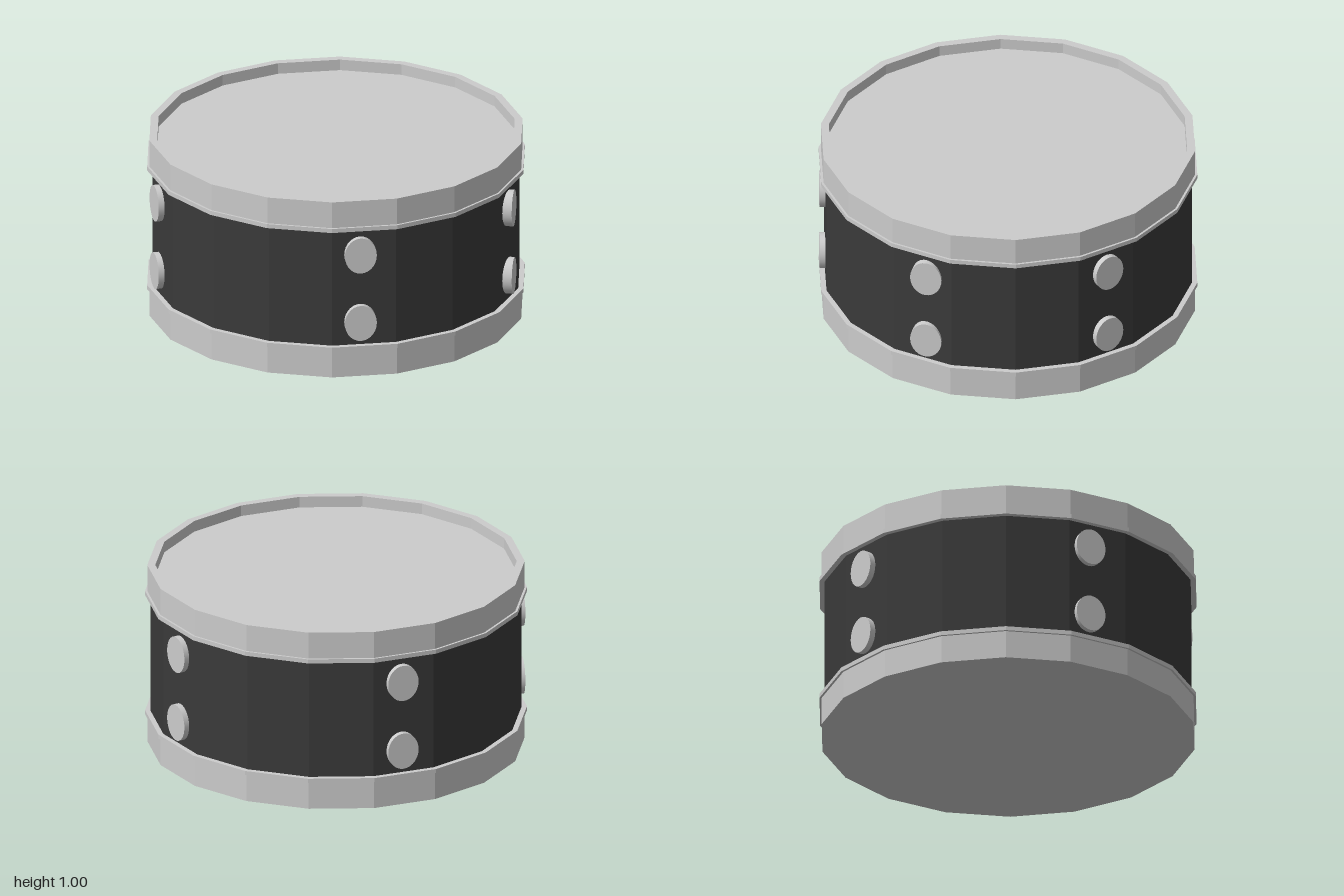
import * as THREE from 'three';

const SIDES = 18;
const TURN = THREE.MathUtils.degToRad(3.2); // facet offset shared by all drum parts

export function createModel() {
  const drum = new THREE.Group();
  drum.name = 'drum';

  const grey = new THREE.MeshStandardMaterial({ color: 0xcccccc, flatShading: true });
  const dark = new THREE.MeshStandardMaterial({ color: 0x3a3a3a, flatShading: true });
  const smooth = new THREE.MeshStandardMaterial({ color: 0xcccccc });

  // Faceted ring or disc turned from a [radius, height] profile
  function turned(name, profile, material) {
    const points = profile.map(([r, y]) => new THREE.Vector2(r, y));
    const mesh = new THREE.Mesh(new THREE.LatheGeometry(points, SIDES, TURN), material);
    mesh.name = name;
    drum.add(mesh);
  }

  turned('shell', [[0.979, 0.16], [0.979, 0.84]], dark);

  // Hoops with a thin flange next to the shell
  turned('topHoop', [
    [0.97, 0.83], [1.007, 0.83], [1.007, 0.853], [0.995, 0.853],
    [0.995, 1], [0.953, 1], [0.953, 0.94],
  ], grey);
  turned('bottomHoop', [
    [0.995, 0], [0.995, 0.152], [1.007, 0.152], [1.007, 0.175], [0.97, 0.175],
  ], grey);

  // Drum heads: the top one is recessed, the bottom one is flush
  turned('topHead', [[0.953, 0.94], [0, 0.94]], grey);
  turned('bottomHead', [[0, 0], [0.995, 0]], grey);

  // Oval lugs in pairs around the shell: [position angle, facing angle]
  const lugGeometry = new THREE.CylinderGeometry(0.1, 0.1, 0.06, 28);
  lugGeometry.rotateX(Math.PI / 2).scale(0.85, 1, 1).translate(0, 0, -0.03);
  const lugs = [[12, 12], [75, 86], [133.5, 134], [212.5, 211.5], [290, 291]];
  for (const [position, facing] of lugs) {
    const a = THREE.MathUtils.degToRad(position);
    for (const y of [0.305, 0.69]) {
      const lug = new THREE.Mesh(lugGeometry, smooth);
      lug.name = 'lug';
      lug.position.set(0.995 * Math.sin(a), y, 0.995 * Math.cos(a));
      lug.rotation.y = THREE.MathUtils.degToRad(facing);
      drum.add(lug);
    }
  }

  return drum;
}
